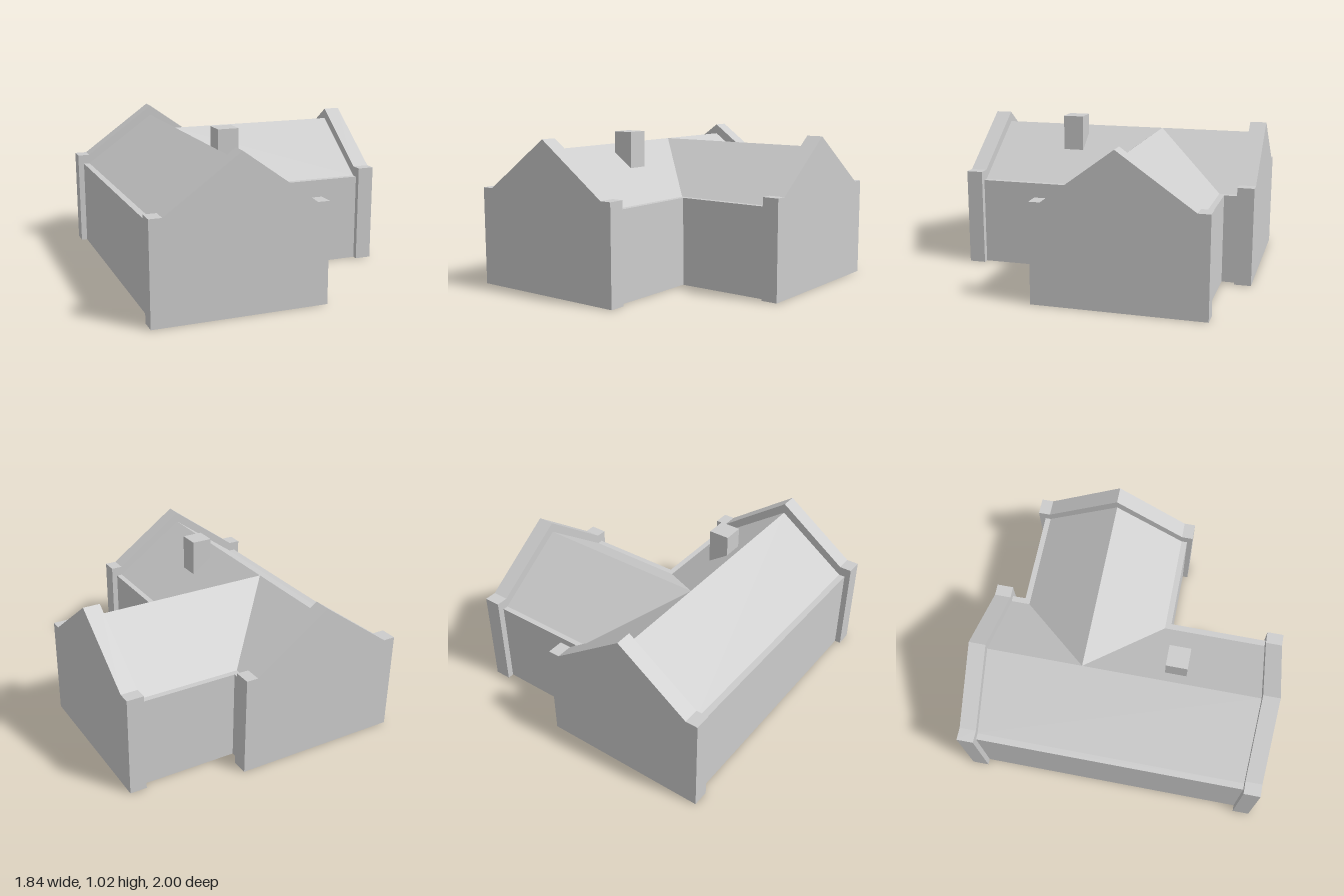
import * as THREE from 'three';

// Main dimensions
const EAVE = 0.59, RIDGE = 0.93, SHOULDER = 0.655, PEAK = 1.0, DEPTH = 0.11;
const END_Z = 0.89, END_X = 0.805;              // inner faces of the gables
// Section of each range: wall line, roof foot, ridge, roof foot, wall line
const MAIN = { wall0: -0.88, foot0: -0.838, ridge: -0.357, foot1: 0.126, wall1: 0.165, end0: -0.92, end1: 0.204 };
const WING = { wall0: -0.80, foot0: -0.763, ridge: -0.267, foot1: 0.197, wall1: 0.236, end0: -0.843, end1: 0.272 };

const roofHeight = (s, v) =>
  EAVE + (RIDGE - EAVE) * (v < s.ridge ? (v - s.foot0) / (s.ridge - s.foot0) : (s.foot1 - v) / (s.foot1 - s.ridge));

export function createModel() {
  const model = new THREE.Group();
  model.name = 'house';
  const plaster = new THREE.MeshStandardMaterial({ color: 0xcccccc, side: THREE.DoubleSide });
  plaster.name = 'plaster grey';

  function add(parent, name, geometry) {
    const flat = geometry.index ? geometry.toNonIndexed() : geometry;
    flat.computeVertexNormals();
    const mesh = new THREE.Mesh(flat, plaster);
    mesh.name = name;
    parent.add(mesh);
    return mesh;
  }

  // Four-cornered faces, corners counter-clockwise from outside
  function quads(list) {
    const pos = list.flatMap(([a, b, c, d]) => [a, b, c, a, c, d].flat());
    const g = new THREE.BufferGeometry();
    g.setAttribute('position', new THREE.Float32BufferAttribute(pos, 3));
    return g;
  }

  const toShape = (pts) => new THREE.Shape(pts.map(([u, v]) => new THREE.Vector2(u, v)));

  // Surface drawn in plan (x, z) and lifted to a height rule
  function planSurface(pts, height, hole) {
    const shape = toShape(pts.map(([x, z]) => [x, -z]));
    if (hole) shape.holes.push(new THREE.Path(hole.map(([x, z]) => new THREE.Vector2(x, -z))));
    const g = new THREE.ShapeGeometry(shape);
    g.rotateX(-Math.PI / 2);
    const p = g.attributes.position;
    for (let i = 0; i < p.count; i++) p.setY(i, height(p.getX(i), p.getZ(i)));
    return g;
  }

  // Upright walls along a plan line
  function wallRun(name, pts) {
    add(model, name, quads(pts.slice(1).map(([bx, bz], i) => {
      const [ax, az] = pts[i];
      return [[ax, 0, az], [bx, 0, bz], [bx, EAVE, bz], [ax, EAVE, az]];
    })));
  }

  // Hollow raised gable: outer face, coping band, and inner rim above the roof
  function gable(name, s, mirror) {
    const group = new THREE.Group();
    group.name = name;
    const outline = (a, b, yLow, yTop) => {
      const pts = [[a, 0], [a, yLow], [s.foot0, yLow], [s.ridge, yTop], [s.foot1, yLow], [b, yLow], [b, 0]];
      return mirror ? pts.map(([u, y]) => [-u, y]).reverse() : pts;
    };
    const outer = outline(s.end0, s.end1, SHOULDER, PEAK);
    const inner = outline(s.wall0, s.wall1, EAVE, RIDGE);
    const face = new THREE.ShapeGeometry(toShape(outer));
    face.translate(0, 0, DEPTH);
    add(group, 'gableFace', face);
    add(group, 'gableCoping', quads(outer.slice(1).map(([bu, by], i) => {
      const [au, ay] = outer[i];
      return [[au, ay, 0], [au, ay, DEPTH], [bu, by, DEPTH], [bu, by, 0]];
    })));
    const rim = new THREE.ShapeGeometry(toShape([...outer, ...inner.reverse()]));
    rim.setIndex(Array.from(rim.index.array).reverse());
    add(group, 'gableRim', rim);
    model.add(group);
    return group;
  }

  // Walls
  wallRun('leftHandWall', [[MAIN.wall0, -END_Z], [MAIN.wall0, END_Z]]);
  wallRun('frontCourtWalls', [[MAIN.wall1, END_Z], [MAIN.wall1, WING.wall1], [END_X, WING.wall1]]);
  wallRun('backCourtWalls', [[END_X, WING.wall0], [MAIN.wall1, WING.wall0], [MAIN.wall1, -END_Z]]);

  // Gables
  gable('frontGable', MAIN, false).position.z = END_Z;
  const back = gable('backGable', MAIN, true);
  back.rotation.y = Math.PI;
  back.position.z = -END_Z;
  const side = gable('wingGable', WING, true);
  side.rotation.y = Math.PI / 2;
  side.position.x = END_X;

  // Roofs, meeting in two valleys
  const mainY = (x) => roofHeight(MAIN, x);
  const wingY = (x, z) => roofHeight(WING, z);
  const meet = [MAIN.ridge, WING.ridge];
  const frontValley = [MAIN.foot1, WING.foot1], backValley = [MAIN.foot1, WING.foot0];
  const flue = [[-0.285, 0.40], [-0.145, 0.40], [-0.145, 0.26], [-0.285, 0.26]];
  add(model, 'mainRoofOuterSlope', planSurface(
    [[MAIN.foot0, -END_Z], [MAIN.foot0, END_Z], [MAIN.ridge, END_Z], [MAIN.ridge, -END_Z]], mainY));
  add(model, 'mainRoofFrontSlope', planSurface(
    [[MAIN.ridge, END_Z], [MAIN.foot1, END_Z], frontValley, meet], mainY, flue));
  add(model, 'mainRoofBackSlope', planSurface(
    [meet, backValley, [MAIN.foot1, -END_Z], [MAIN.ridge, -END_Z]], mainY));
  add(model, 'wingRoofFrontSlope', planSurface(
    [meet, frontValley, [END_X, WING.foot1], [END_X, WING.ridge]], wingY));
  add(model, 'wingRoofBackSlope', planSurface(
    [meet, [END_X, WING.ridge], [END_X, WING.foot0], backValley], wingY));

  // Flat eave ledges between roof foot and wall
  const flat = () => EAVE;
  add(model, 'outerEave', planSurface(
    [[MAIN.wall0, -END_Z], [MAIN.wall0, END_Z], [MAIN.foot0, END_Z], [MAIN.foot0, -END_Z]], flat));
  for (const [name, end, foot, wall] of [
    ['frontEave', END_Z, WING.foot1, WING.wall1], ['backEave', -END_Z, WING.foot0, WING.wall0]]) {
    add(model, name, planSurface([[MAIN.foot1, end], [MAIN.wall1, end], [MAIN.wall1, wall],
      [END_X, wall], [END_X, foot], [MAIN.foot1, foot]], flat));
  }

  // Chimney, open below into the roof space
  const top = 1.02;
  const chimney = flue.map(([ax, az], i) => {
    const [bx, bz] = flue[(i + 1) % 4];
    return [[ax, mainY(ax), az], [bx, mainY(bx), bz], [bx, top, bz], [ax, top, az]];
  });
  chimney.push(flue.map(([x, z]) => [x, top, z]));
  add(model, 'chimney', quads(chimney));

  return model;
}
